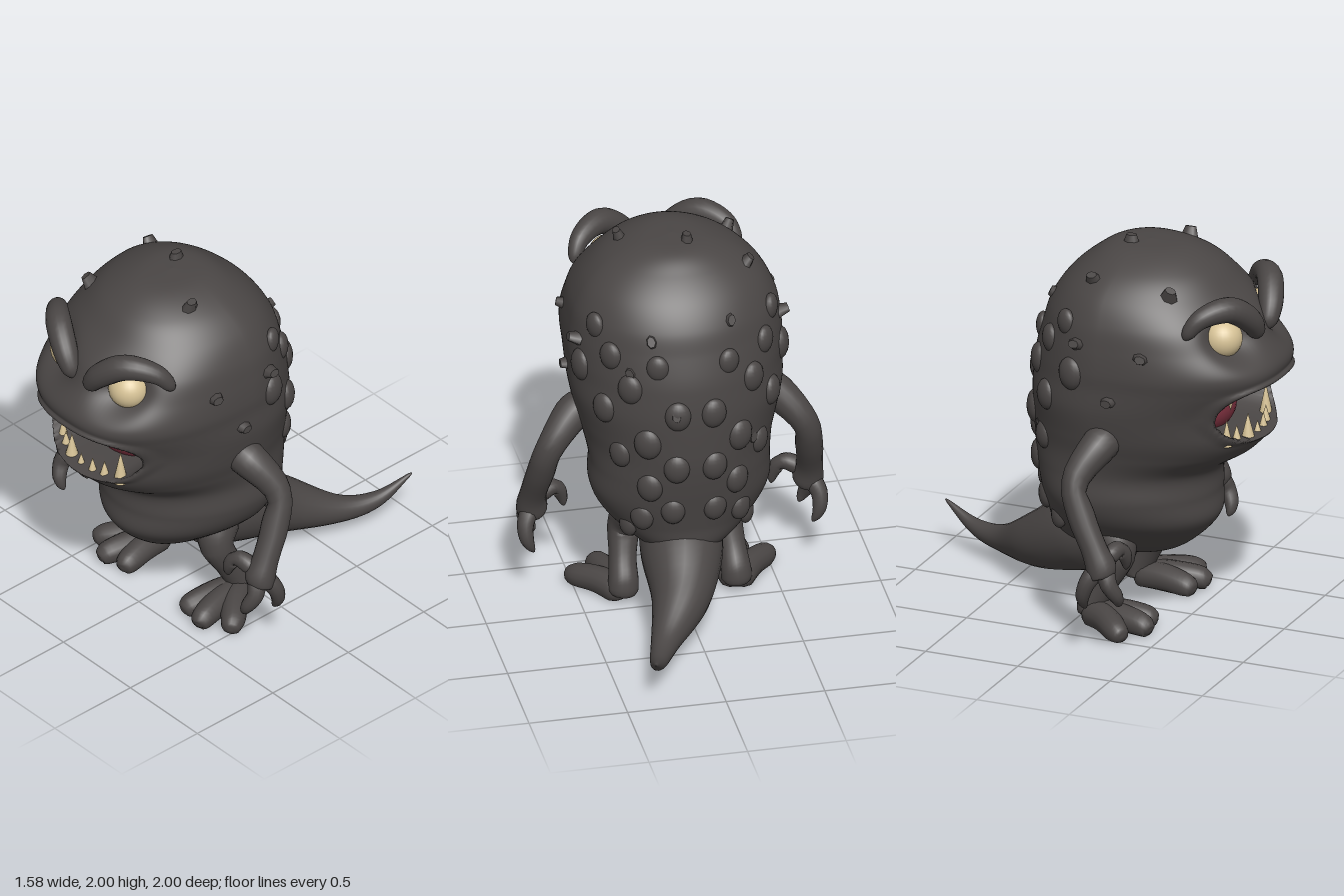
import * as THREE from 'three';

const mat = (name, color) => Object.assign(new THREE.MeshStandardMaterial({ color }), { name });

// Closed-ring surface: fn(u, v) gives a point, v wraps around
function loft(rows, cols, fn) {
  const pos = [], idx = [];
  for (let i = 0; i <= rows; i++)
    for (let j = 0; j < cols; j++) {
      const p = fn(i / rows, j / cols);
      pos.push(p.x, p.y, p.z);
      if (i === rows) continue;
      const a = i * cols + j, b = i * cols + (j + 1) % cols;
      idx.push(a, a + cols, b, b, a + cols, b + cols);
    }
  const g = new THREE.BufferGeometry();
  g.setAttribute('position', new THREE.Float32BufferAttribute(pos, 3));
  g.setIndex(idx);
  g.computeVertexNormals();
  return g;
}

// Rounded tapering limb; each point is [x, y, z, radius]
function limb(points, side = 1, round = 0.1, rows = 32, cols = 18) {
  const path = new THREE.CatmullRomCurve3(points.map(p => new THREE.Vector3(p[0] * side, p[1], p[2])), false, 'catmullrom');
  const rad = new THREE.CatmullRomCurve3(points.map(p => new THREE.Vector3(p[3], 0, 0)), false, 'catmullrom');
  const { normals, binormals } = path.computeFrenetFrames(rows);
  return loft(rows, cols, (u, v) => {
    const t = (1 - Math.cos(Math.PI * u)) / 2;
    const k = Math.min(Math.round(t * rows), rows);
    const e = 1 - Math.min(Math.min(t, 1 - t) / round, 1);
    const r = Math.max(rad.getPoint(t).x, 0) * Math.sqrt(1 - e * e);
    const a = -v * Math.PI * 2;
    const p = path.getPoint(t)
      .addScaledVector(normals[k], r * Math.cos(a))
      .addScaledVector(binormals[k], r * Math.sin(a));
    p.y = Math.max(p.y, 0); // flat soles
    return p;
  });
}

// Body sections from crown to belly: y, half width, front z, back z
const SECTIONS = [
  [1.965, 0, 0.28, 0.28], [1.95, 0.17, 0.48, 0.1], [1.88, 0.33, 0.63, -0.02], [1.78, 0.44, 0.74, -0.13],
  [1.66, 0.505, 0.86, -0.21], [1.54, 0.53, 0.92, -0.25], [1.42, 0.54, 0.99, -0.285], [1.33, 0.535, 0.97, -0.3],
  [1.2, 0.53, 0.91, -0.31], [1.05, 0.5, 0.91, -0.31], [0.94, 0.47, 0.83, -0.305], [0.82, 0.45, 0.66, -0.29],
  [0.68, 0.45, 0.64, -0.265], [0.55, 0.39, 0.64, -0.24], [0.43, 0.27, 0.54, -0.22], [0.34, 0.15, 0.4, -0.12],
  [0.285, 0, 0.18, 0.18],
];
const curve = f => new THREE.CatmullRomCurve3(SECTIONS.map(f), false, 'catmullrom');
const outline = curve(s => new THREE.Vector3(s[1], s[0], s[2]));
const spine = curve(s => new THREE.Vector3(0, s[0], s[3]));

function skin(u, a) {
  const o = outline.getPoint(u), back = spine.getPoint(u).z;
  const c = back + (o.z - back) * 0.4;
  const s = Math.sin(a), k = Math.cos(a);
  const n = k > 0 ? 2 + 0.5 * Math.exp(-(((o.y - 1.45) / 0.25) ** 2)) : 2;
  const pow = q => Math.sign(q) * Math.abs(q) ** (2 / n);
  return new THREE.Vector3(Math.max(o.x, 0) * pow(s), o.y, c + (k > 0 ? o.z - c : c - back) * pow(k));
}

// Skin with eye sockets, lips and a hollow mouth
function sculpted(u, v) {
  const a = v * Math.PI * 2, p = skin(u, a);
  if (Math.cos(a) <= 0) return p;
  const ax = Math.abs(p.x);
  p.z -= 0.11 * Math.exp(-(((ax - 0.23) / 0.12) ** 2) - ((p.y - 1.585) / 0.1) ** 2);
  const width = 0.33 - 0.06 * THREE.MathUtils.smoothstep(1.2 - p.y, 0, 0.15);
  const d = (ax / width) ** 4 + ((p.y - 1.19) / 0.142) ** 4;
  p.z += 0.025 * Math.exp(-(((d - 1.5) / 0.5) ** 2));
  const open = 1 - THREE.MathUtils.smoothstep(d, 0.75, 1.1);
  p.z += (0.42 - p.z) * open;
  return p;
}

export function createModel() {
  const model = new THREE.Group();
  const hide = mat('charcoal hide', 0x4a4645);
  const ivory = mat('ivory', 0xd6c296);
  const red = mat('tongue red', 0x7c303e);
  const add = (name, geo, m = hide) => {
    const mesh = new THREE.Mesh(geo, m);
    mesh.name = name;
    model.add(mesh);
    return mesh;
  };

  add('body', loft(176, 160, sculpted));
  add('tail', limb([
    [0, 0.42, 0.12, 0.2], [0.03, 0.345, -0.1, 0.205], [0.09, 0.235, -0.35, 0.148], [0.22, 0.148, -0.6, 0.075],
    [0.3, 0.15, -0.8, 0.042], [0.355, 0.25, -0.995, 0.006],
  ], 1, 0.02, 48, 24));

  // Tongue
  const tongue = add('tongue', new THREE.SphereGeometry(1, 32, 20), red);
  tongue.scale.set(0.21, 0.145, 0.16);
  tongue.position.set(0, 1.135, 0.56);

  for (const side of [1, -1]) {
    const name = side > 0 ? 'left' : 'right';

    // Eye and heavy slanted brow
    const eye = add(name + 'Eye', new THREE.SphereGeometry(0.102, 28, 20), ivory);
    eye.position.set(0.217 * side, 1.588, 0.76);
    add(name + 'Brow', limb([
      [0.42, 1.63, 0.64, 0.03], [0.37, 1.73, 0.71, 0.05], [0.25, 1.755, 0.81, 0.065],
      [0.13, 1.67, 0.87, 0.062], [0.05, 1.56, 0.885, 0.04],
    ], side));

    // Arm, hand and claws
    add(name + 'Arm', limb([
      [0.4, 1.06, 0.24, 0.09], [0.51, 1.03, 0.22, 0.092], [0.645, 0.88, 0.15, 0.07], [0.68, 0.72, 0.2, 0.07],
      [0.7, 0.56, 0.28, 0.066], [0.7, 0.46, 0.32, 0.078], [0.71, 0.4, 0.33, 0.06],
    ], side));
    const fingers = [
      [[0.68, 0.5, 0.33, 0.05], [0.585, 0.535, 0.36, 0.042], [0.54, 0.475, 0.38, 0.034], [0.525, 0.405, 0.375, 0.014]],
      [[0.7, 0.46, 0.34, 0.05], [0.725, 0.39, 0.37, 0.043], [0.7, 0.32, 0.405, 0.034], [0.67, 0.265, 0.4, 0.014]],
      [[0.71, 0.46, 0.3, 0.05], [0.745, 0.39, 0.26, 0.043], [0.74, 0.31, 0.235, 0.034], [0.705, 0.24, 0.235, 0.012]],
    ];
    fingers.forEach((f, i) => add(name + 'Finger' + (i + 1), limb(f, side, 0.15, 18, 12)));

    // Leg and three-toed foot
    add(name + 'Leg', limb([
      [0.2, 0.49, 0.14, 0.12], [0.25, 0.37, 0.215, 0.09], [0.275, 0.23, 0.155, 0.07],
      [0.285, 0.11, 0.09, 0.076], [0.29, 0.04, 0.09, 0.08],
    ], side));
    const toes = [[0.475, 0.045, 0.3], [0.355, 0.05, 0.39], [0.235, 0.045, 0.365]];
    toes.forEach(([x, y, z], i) => add(name + 'Toe' + (i + 1), limb([
      [0.285, 0.05, 0.07, 0.075], [(x + 0.285) / 2, 0.06, (z + 0.1) / 2, 0.07],
      [x, y, z, 0.06], [x + (x - 0.285) * 0.2, 0.03, z + 0.05, 0.035],
    ], side, 0.12, 20, 14)));
  }

  // Teeth: x, height, radius, +1 upper / -1 lower
  const teeth = [
    [-0.215, 0.11, 0.038, 1], [0.215, 0.11, 0.038, 1], [-0.13, 0.05, 0.025, 1], [0.13, 0.045, 0.025, 1],
    [-0.29, 0.05, 0.024, 1], [0.295, 0.07, 0.026, 1], [0.05, 0.035, 0.02, 1], [-0.05, 0.035, 0.02, 1],
    [-0.105, 0.1, 0.036, -1], [0.21, 0.14, 0.038, -1], [-0.18, 0.06, 0.028, -1], [0.13, 0.06, 0.028, -1],
    [0.06, 0.05, 0.024, -1], [-0.02, 0.035, 0.022, -1], [-0.235, 0.1, 0.03, -1],
  ];
  teeth.forEach(([x, h, r, up], i) => {
    const tooth = add((up > 0 ? 'upperTooth' : 'lowerTooth') + i, new THREE.ConeGeometry(r, h + 0.04, 12), ivory);
    tooth.position.set(x, up > 0 ? 1.355 - (h + 0.04) / 2 : 1.025 + (h + 0.04) / 2, 0.865 - 1.3 * x * x);
    if (up > 0) tooth.rotation.x = Math.PI;
  });

  // Warts on the back: section index, degrees from the back, radius
  const warts = [
    [4.2, 62, 0.06], [5.2, 48, 0.065], [5.4, 20, 0.06], [6.3, 72, 0.075], [6.6, 36, 0.07], [7.8, 54, 0.07],
    [7.7, 10, 0.07], [8.8, 28, 0.075], [9.6, 48, 0.065], [10, 12, 0.07], [11, 30, 0.07], [12, 14, 0.065],
    [12.4, 36, 0.065], [13.1, 54, 0.055],
  ];
  const out = new THREE.Vector3(), Z = new THREE.Vector3(0, 0, 1), Y = new THREE.Vector3(0, 1, 0);
  for (const side of [1, -1])
    warts.forEach(([s, deg, r], i) => {
      const a = Math.PI - side * deg * Math.PI / 180;
      const wart = add('wart' + i, new THREE.SphereGeometry(r, 16, 12));
      wart.position.copy(skin(s / 16, a));
      out.set(Math.sin(a), 0, Math.cos(a));
      wart.quaternion.setFromUnitVectors(Z, out);
      wart.scale.set(0.95, 1.15, 0.6);
      wart.position.addScaledVector(out, -0.01);
    });

  // Horny stubs on the crown, flanks and back: position, outward direction
  const stubs = [
    [-0.06, 1.965, 0.2, 0, 1, 0], [0.25, 1.925, 0.38, 0.35, 1, 0], [-0.35, 1.85, 0.12, -0.7, 1, -0.1],
    [-0.34, 1.825, 0.53, -0.5, 1, 0.4], [0.535, 1.53, 0.1, 1, 0.3, 0], [-0.525, 1.56, 0.1, -1, 0.3, 0],
    [0.52, 1.53, 0.45, 1, 0.2, 0.3], [-0.52, 1.53, 0.45, -1, 0.2, 0.3], [0.535, 1.28, 0.28, 1, 0, 0],
    [-0.535, 1.28, 0.28, -1, 0, 0], [0.1, 1.25, -0.3, 0.2, 0.3, -1], [-0.2, 1.68, -0.15, -0.3, 0.5, -1],
    [0.2, 1.62, -0.18, 0.3, 0.5, -1], [-0.3, 1.02, -0.18, -0.6, 0.2, -1], [0.3, 1.45, -0.17, 0.6, 0.2, -1],
  ];
  stubs.forEach(([x, y, z, dx, dy, dz], i) => {
    const stub = add('hornStub' + i, new THREE.CylinderGeometry(0.026, 0.044, 0.06, 7));
    stub.position.set(x, y, z);
    stub.quaternion.setFromUnitVectors(Y, out.set(dx, dy, dz).normalize());
    stub.scale.set(0.8, 1, 1.1);
  });

  return model;
}
